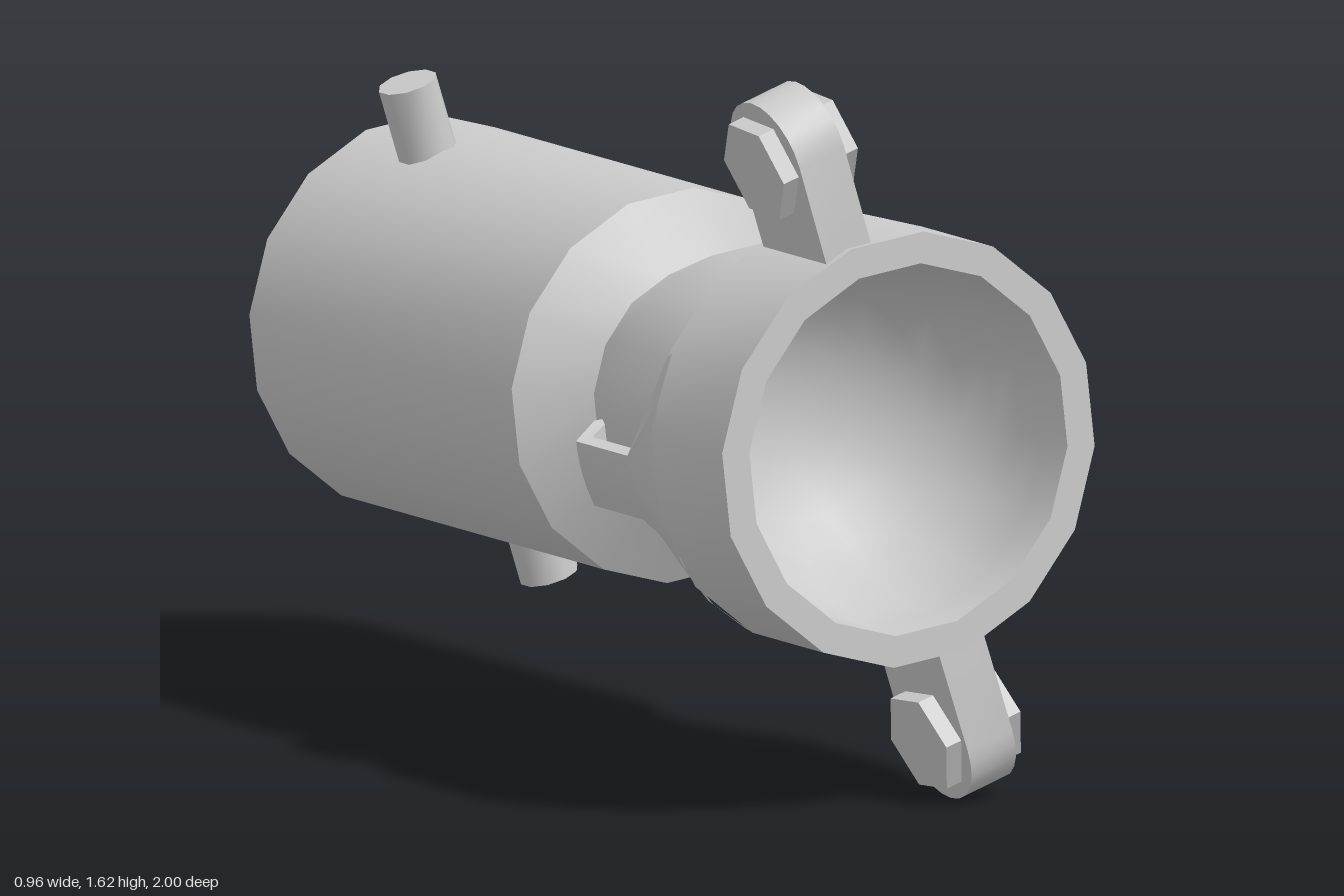
import * as THREE from 'three';
import { toCreasedNormals } from 'three/addons/utils/BufferGeometryUtils.js';

const material = new THREE.MeshStandardMaterial({ color: 0xcccccc });

function addMesh(parent, name, geometry, crease = 0.6) {
  const mesh = new THREE.Mesh(toCreasedNormals(geometry, crease), material);
  mesh.name = name;
  parent.add(mesh);
  return mesh;
}

// Tapering curved strap; rows are [z, outer radius, half angle], front to back
function strapGeometry(rows, thickness) {
  const n = 6, loop = 2 * (n + 1), positions = [], index = [];
  for (const [z, r, half] of rows) {
    for (let j = 0; j < loop; j++) {
      const outer = j <= n;
      const t = outer ? j / n : (loop - 1 - j) / n;
      const a = (2 * t - 1) * half, rad = outer ? r : r - thickness;
      positions.push(rad * Math.cos(a), rad * Math.sin(a), z);
    }
  }
  for (let i = 0; i < rows.length - 1; i++) {
    for (let j = 0; j < loop; j++) {
      const k = (j + 1) % loop;
      const a = i * loop + j, b = i * loop + k;
      index.push(a, a + loop, b, b, a + loop, b + loop);
    }
  }
  // Cap at the rear tip
  const base = (rows.length - 1) * loop;
  for (let j = 0; j < n; j++) {
    const a = base + j, b = a + 1, c = base + loop - 1 - j, d = c - 1;
    index.push(a, c, b, b, c, d);
  }
  const g = new THREE.BufferGeometry();
  g.setAttribute('position', new THREE.Float32BufferAttribute(positions, 3));
  g.setIndex(index);
  return g;
}

// Round-ended lug, upright in y, width along z, thickness along x
function lugGeometry() {
  const w = 0.128, top = 0.7, t = 0.12;
  const s = new THREE.Shape();
  s.moveTo(-w, 0.44);
  s.lineTo(w, 0.44);
  s.lineTo(w, top);
  s.absarc(0, top, w + 0.005, 0, Math.PI, false);
  s.lineTo(-w, 0.44);
  const g = new THREE.ExtrudeGeometry(s, { depth: t, bevelEnabled: false, curveSegments: 6 });
  return g.translate(0, 0, -t / 2).rotateY(Math.PI / 2).translate(0, 0, 0.857);
}

export function createModel() {
  const model = new THREE.Group();
  model.name = 'coupling';
  const tilted = new THREE.Group();
  tilted.name = 'couplingAssembly';
  tilted.position.y = 0.805;
  tilted.rotation.z = THREE.MathUtils.degToRad(18);
  model.add(tilted);

  // Turned body: rear bore, barrel, neck, sleeve, front collar, domed socket
  const profile = [
    [0, 0.08], [0.15, 0.05], [0.24, -0.03], [0.28, -0.15], [0.28, -1],
    [0.435, -1], [0.435, 0.07], [0.28, 0.16], [0.36, 0.37], [0.36, 0.66],
    [0.4, 0.71], [0.48, 0.71], [0.48, 1], [0.41, 1],
  ];
  for (let i = 0; i <= 8; i++) {
    const a = (i / 8) * Math.PI / 2;
    profile.push([0.41 * Math.cos(a), 0.9 - 0.41 * Math.sin(a)]);
  }
  const points = profile.map(([r, z]) => new THREE.Vector2(Math.max(r, 0), z));
  addMesh(tilted, 'body', new THREE.LatheGeometry(points, 16).rotateX(Math.PI / 2));

  // Parts that repeat on opposite sides
  for (let side = 0; side < 2; side++) {
    const half = new THREE.Group();
    half.name = side ? 'lowerFittings' : 'upperFittings';
    half.rotation.z = side * Math.PI;
    tilted.add(half);

    // Retaining arm, bent inward at the tip
    addMesh(half, 'retainingArm', strapGeometry([
      [0.72, 0.48, 0.77], [0.705, 0.478, 0.75], [0.5, 0.41, 0.19],
      [0.29, 0.41, 0.19], [0.225, 0.32, 0.24],
    ], 0.043), 0.4);

    // Clamp lug with hexagonal bolt heads on both faces
    addMesh(half, 'clampLug', lugGeometry());
    const bolt = new THREE.CylinderGeometry(0.118, 0.118, 0.2, 6);
    bolt.rotateZ(Math.PI / 2).rotateX(0.08);
    addMesh(half, 'hexBolt', bolt).position.set(0, 0.685, 0.857);

    // Radial locking pin on the barrel
    const pin = new THREE.CylinderGeometry(0.066, 0.066, 0.2, 10);
    addMesh(half, 'lockingPin', pin, 0.7).position.set(0, 0.49, -0.755);
  }
  return model;
}
